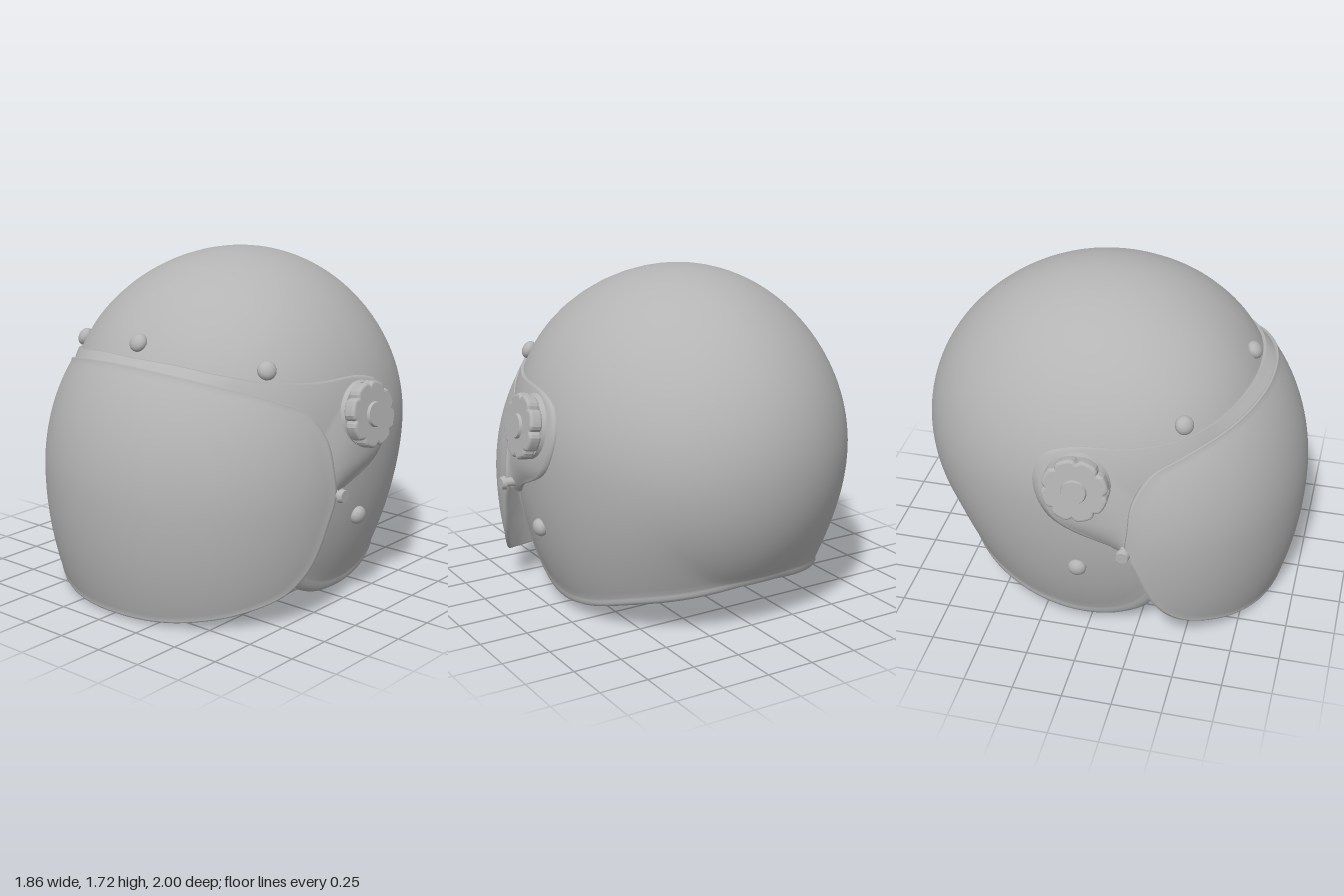
import * as THREE from 'three';

const V = (x, y, z) => new THREE.Vector3(x, y, z);
const UP = V(0, 1, 0);

// Radial surfaces: a centre, plus a radius for each unit direction
const shellSurface = {
  centre: V(0, 0.83, -0.06),
  radius(d) {
    const back = Math.max(0, -d.z), front = Math.max(0, d.z);
    const ry = d.y > 0 ? 0.89 : 1.3 - 0.37 * Math.min(1, back ** 2 / 0.6);
    const rz = d.z > 0 ? 0.9 : 0.94;
    const p = 2 - 0.1 * back * Math.max(0, d.y) + 0.3 * front * Math.abs(d.x);
    const sum = Math.abs(d.x / 0.833) ** p + Math.abs(d.y / ry) ** p + Math.abs(d.z / rz) ** p;
    return sum ** (-1 / p);
  },
};
const visorSurface = {
  centre: V(0, 0.6, 0.2),
  radius(d) {
    const ry = d.y > 0 ? 0.98 : 1.26;
    return 1 / Math.hypot(d.x / 0.86, d.y / ry, d.z / 0.8);
  },
};

const project = (s, dir, offset = 0) =>
  s.centre.clone().addScaledVector(dir, s.radius(dir) + offset);

// Point on the +x half of a surface at a given side-view position
function onSurface(s, z, y, offset = 0) {
  const d = V(0, y, z).sub(s.centre);
  let lo = 0, hi = 1.2;
  for (let i = 0; i < 40; i++) {
    d.x = (lo + hi) / 2;
    if (d.length() < s.radius(d.clone().normalize())) lo = d.x; else hi = d.x;
  }
  d.x = lo < 1e-6 ? 0 : lo;
  return project(s, d.normalize(), offset);
}

const mirror = (p) => V(-p.x, p.y, p.z);

// Smooth mesh through rows of points
function grid(rows, closed, flip) {
  const n = rows.length, m = rows[0].length, index = [];
  for (let i = 0; i < (closed ? n : n - 1); i++) {
    for (let j = 0; j < m - 1; j++) {
      const a = i * m + j, b = ((i + 1) % n) * m + j;
      if (flip) index.push(a, b + 1, a + 1, a, b, b + 1);
      else index.push(a, a + 1, b + 1, a, b + 1, b);
    }
  }
  const g = new THREE.BufferGeometry().setFromPoints(rows.flat());
  g.setIndex(index);
  g.computeVertexNormals();
  return g;
}

// Thick skin that spreads from a pole to a closed edge; profile = [fraction, offset]
function skin(s, pole, edge, profile, flip, n = 160) {
  const half = edge.map(([z, y]) => onSurface(s, z, y));
  half[0].x = half[half.length - 1].x = 0;
  const loop = [...half, ...half.slice(1, -1).reverse().map(mirror)];
  const curve = new THREE.CatmullRomCurve3(loop, true);
  const rows = [];
  for (let i = 0; i < n; i++) {
    const e = curve.getPoint(i / n).sub(s.centre).normalize();
    const axis = pole.clone().cross(e).normalize(), angle = pole.angleTo(e);
    rows.push(profile.map(([t, o]) =>
      project(s, pole.clone().applyAxisAngle(axis, angle * t), o)));
  }
  return grid(rows, true, flip);
}

export function createModel() {
  const group = new THREE.Group();
  const grey = new THREE.MeshStandardMaterial({ color: 0xb4b4b4, side: THREE.DoubleSide });
  grey.name = 'plain grey';
  const add = (name, geometry, parent = group) => {
    const mesh = new THREE.Mesh(geometry, grey);
    mesh.name = name;
    parent.add(mesh);
    return mesh;
  };
  const outer = (k, end) => Array.from({ length: k + 1 }, (_, i) => [0.002 + (end - 0.002) * i / k, 0]);

  // Helmet shell with rolled trim and padded lining
  const shellEdge = [[0.76, 1.2], [0.6, 1.13], [0.42, 1.0], [0.34, 0.8], [0.34, 0.6], [0.37, 0.42],
    [0.36, 0.26], [0.29, 0.13], [0.16, 0.06], [0, 0.04], [-0.2, 0.065], [-0.5, 0.145], [-0.7, 0.2], [-0.81, 0.23]];
  add('shell', skin(shellSurface, V(0, 0.8, -0.6), shellEdge, [
    ...outer(40, 0.965), [0.972, 0.004], [0.98, 0.01], [0.99, 0.01], [0.999, 0.002], [1.004, -0.015],
    [1.006, -0.05], [1.003, -0.09], [0.99, -0.125], [0.965, -0.148], [0.93, -0.16], [0.88, -0.158],
    [0.82, -0.14], [0.76, -0.115], [0.7, -0.1], [0.5, -0.09], [0.3, -0.09], [0.15, -0.09], [0.002, -0.09],
  ], false));

  // Bubble visor
  const visorTop = [[0.8, 1.25], [0.77, 1.235], [0.66, 1.19], [0.46, 1.11], [0.33, 1.04]];
  const visorEdge = [...visorTop, [0.25, 0.9], [0.235, 0.75], [0.23, 0.63], [0.28, 0.5], [0.36, 0.3],
    [0.46, 0.18], [0.65, 0.09], [0.8, 0.04], [0.91, 0.02]];
  add('visor', skin(visorSurface, V(0, 0, 1), visorEdge, [
    ...outer(30, 0.98), [0.985, 0.004], [0.998, 0.004], [1.004, -0.01], [0.998, -0.022],
    [0.8, -0.022], [0.5, -0.022], [0.25, -0.022], [0.002, -0.022],
  ], true));

  // Visor frame: brow band that widens into the side pivot plates
  const upper = [[0.75, 1.28], [0.7, 1.262], [0.6, 1.225], [0.46, 1.19], [0.25, 1.17], [-0.07, 1.155],
    [-0.19, 1.1], [-0.235, 0.97], [-0.155, 0.78], [0.14, 0.63], [0.22, 0.57]]
    .map(([z, y]) => onSurface(shellSurface, z, y, 0.014));
  const lower = [...visorTop, [0.27, 0.97], [0.25, 0.9], [0.24, 0.82], [0.235, 0.75], [0.23, 0.66], [0.23, 0.6]]
    .map(([z, y]) => onSurface(visorSurface, z, y, -0.01));
  upper[0].x = lower[0].x = 0;
  const both = (pts) => new THREE.CatmullRomCurve3([...pts.slice(1).reverse().map(mirror), ...pts]);
  const top = both(upper), bottom = both(lower), band = [];
  for (let i = 0; i <= 160; i++) {
    const a = top.getPoint(i / 160).sub(shellSurface.centre);
    const b = bottom.getPoint(i / 160).sub(shellSurface.centre);
    const row = [project(shellSurface, a.clone().normalize(), -0.01)];
    for (let j = 0; j <= 12; j++) {
      const d = a.clone().lerp(b, j / 12).normalize();
      const r = THREE.MathUtils.lerp(a.length(), b.length(), j / 12);
      row.push(shellSurface.centre.clone().addScaledVector(d, Math.max(r, shellSurface.radius(d) + 0.014)));
    }
    band.push(row);
  }
  add('visorFrame', grid(band, false, true));

  // Fittings stand on the shell, aligned with its normal
  const fitting = (name, z, y, side, offset = 0) => {
    const p = onSurface(shellSurface, z, y, offset);
    const d = p.clone().sub(shellSurface.centre);
    const n = V(d.x / 0.7, d.y / (d.y > 0 ? 0.79 : 1.6), d.z / 0.81).normalize();
    if (side === 0) { p.x = 0; n.x = 0; n.normalize(); }
    if (side < 0) { p.x *= -1; n.x *= -1; }
    const g = new THREE.Group();
    g.name = name;
    g.position.copy(p);
    g.quaternion.setFromUnitVectors(UP, n);
    group.add(g);
    return g;
  };
  const dome = new THREE.SphereGeometry(0.047, 20, 12);
  dome.scale(1, 0.75, 1);
  const snap = (name, z, y, side) => add('snapDome', dome, fitting(name, z, y, side, 0.008));
  snap('browSnap', 0.7, 1.345, 0);

  // Scalloped pivot knob outline
  const outline = [];
  for (let i = 0; i < 96; i++) {
    const a = i / 96 * Math.PI * 2, r = 0.15 - 0.02 * Math.max(0, Math.cos(8 * a)) ** 2;
    outline.push(new THREE.Vector2(r * Math.cos(a), r * Math.sin(a)));
  }
  const knob = new THREE.ExtrudeGeometry(new THREE.Shape(outline),
    { depth: 0.035, bevelThickness: 0.015, bevelSize: 0.014, bevelSegments: 3 });
  knob.rotateX(-Math.PI / 2);

  for (const side of [1, -1]) {
    snap('templeSnap', 0.45, 1.245, side);
    snap('cheekSnap', -0.03, 0.455, side);

    const pivot = fitting('pivotKnob', -0.015, 0.98, side, 0.012);
    add('knobBase', new THREE.CylinderGeometry(0.158, 0.168, 0.03, 48), pivot);
    add('knobGrip', knob, pivot).position.y = 0.025;
    add('knobButton', new THREE.CylinderGeometry(0.058, 0.064, 0.016, 32), pivot).position.y = 0.081;

    // Visor corner stud
    const stud = new THREE.Group();
    stud.name = 'visorStud';
    stud.position.set(side * 0.84, 0.63, 0.22);
    stud.rotation.z = -side * Math.PI / 2;
    group.add(stud);
    add('studStem', new THREE.CylinderGeometry(0.02, 0.028, 0.06, 16), stud).position.y = 0.01;
    add('studHead', new THREE.CylinderGeometry(0.03, 0.036, 0.024, 20), stud).position.y = 0.05;
  }

  // Chin strap hanging between the cheeks, its front edge raised
  const arc = new THREE.CatmullRomCurve3([V(0.6, 0.24, 0), V(0.46, 0.1, 0), V(0.25, 0.03, 0),
    V(0, 0.01, 0), V(-0.25, 0.03, 0), V(-0.46, 0.1, 0), V(-0.6, 0.24, 0)]).getPoints(40);
  const strapShape = new THREE.Shape([...arc.map((p) => new THREE.Vector2(p.x, p.y)),
    ...arc.slice().reverse().map((p) => new THREE.Vector2(p.x * 0.96, p.y + 0.03))]);
  const strap = add('chinStrap', new THREE.ExtrudeGeometry(strapShape,
    { depth: 0.14, bevelThickness: 0.008, bevelSize: 0.006, bevelSegments: 2 }));
  strap.position.set(0, 0.01, 0.17);
  strap.rotation.x = -0.4;

  // Strap buckle
  const buckle = new THREE.Group();
  buckle.name = 'strapBuckle';
  buckle.position.set(0.4, 0.1, 0.31);
  buckle.rotation.set(-0.4, 0, 0.35);
  group.add(buckle);
  add('bucklePlate', new THREE.BoxGeometry(0.2, 0.05, 0.22), buckle);
  add('buckleLever', new THREE.BoxGeometry(0.1, 0.03, 0.15), buckle).position.set(0.02, -0.035, 0.05);
  return group;
}
